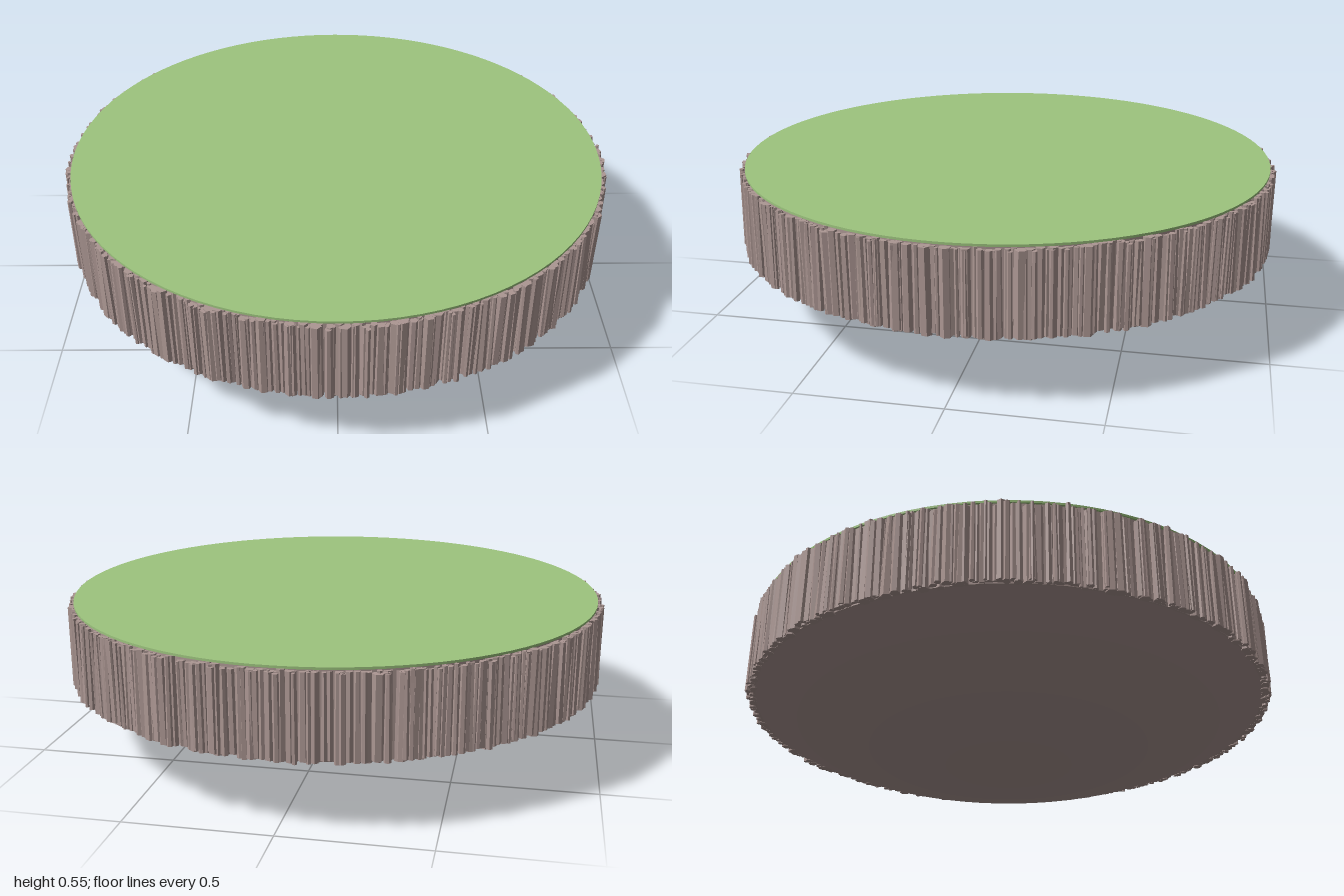
import * as THREE from 'three';
import { mergeGeometries } from 'three/addons/utils/BufferGeometryUtils.js';

// Small seeded generator for repeatable rock variation
function seeded(seed) {
  return () => {
    seed = (seed * 1664525 + 1013904223) % 4294967296;
    return seed / 4294967296;
  };
}

function material(name, color, flatShading = false) {
  const m = new THREE.MeshStandardMaterial({ color, flatShading });
  m.name = name;
  return m;
}

function addMesh(group, name, geometry, mat, y = 0) {
  const mesh = new THREE.Mesh(geometry, mat);
  mesh.name = name;
  mesh.position.y = y;
  group.add(mesh);
}

// Ring of thin, slightly leaning stone columns hugging the rim
function columnRing(count, radius, rMin, rMax, seed) {
  const rand = seeded(seed);
  const parts = [];
  for (let i = 0; i < count; i++) {
    const angle = ((i + rand() * 0.8) / count) * Math.PI * 2;
    const r = rMin + (rMax - rMin) * rand();
    const bottom = 0.238 + rand() * 0.01;
    const top = 0.524 + rand() * 0.012;
    const g = new THREE.CylinderGeometry(r * (0.75 + rand() * 0.25), r, top - bottom, 6);
    g.rotateY(rand() * Math.PI * 2);
    g.rotateX((rand() - 0.5) * 0.04);
    // Keep every column inside the outer limit
    const dist = Math.min(radius + (rand() - 0.5) * 0.016, 0.996 - r);
    g.translate(0, (top + bottom) / 2, dist);
    g.rotateY(angle);
    parts.push(g);
  }
  return mergeGeometries(parts);
}

export function createModel() {
  const group = new THREE.Group();
  group.name = 'floatingIsland';

  const grass = material('grass green', 0x9dc47e);
  const rock = material('warm grey rock', 0xac9793, true);

  // Thin grass disc on top
  addMesh(group, 'grassTop', new THREE.CylinderGeometry(0.973, 0.973, 0.008, 96), grass, 0.541);

  // Solid cliff behind the columns
  addMesh(group, 'cliffCore', new THREE.CylinderGeometry(0.966, 0.966, 0.295, 96), rock, 0.3895);

  // Columns: a regular ring, with narrow ones standing proud between
  addMesh(group, 'cliffColumns', columnRing(300, 0.97, 0.009, 0.022, 7), rock);
  addMesh(group, 'cliffNarrowColumns', columnRing(150, 0.98, 0.006, 0.012, 23), rock);

  // Shallow underside, from its lowest point to the rim
  const profile = [[0, 0], [0.24, 0.031], [0.53, 0.088], [0.8, 0.168], [0.96, 0.242]]
    .map(([x, y]) => new THREE.Vector2(x, y));
  addMesh(group, 'underside', new THREE.LatheGeometry(profile, 64), rock);

  return group;
}
